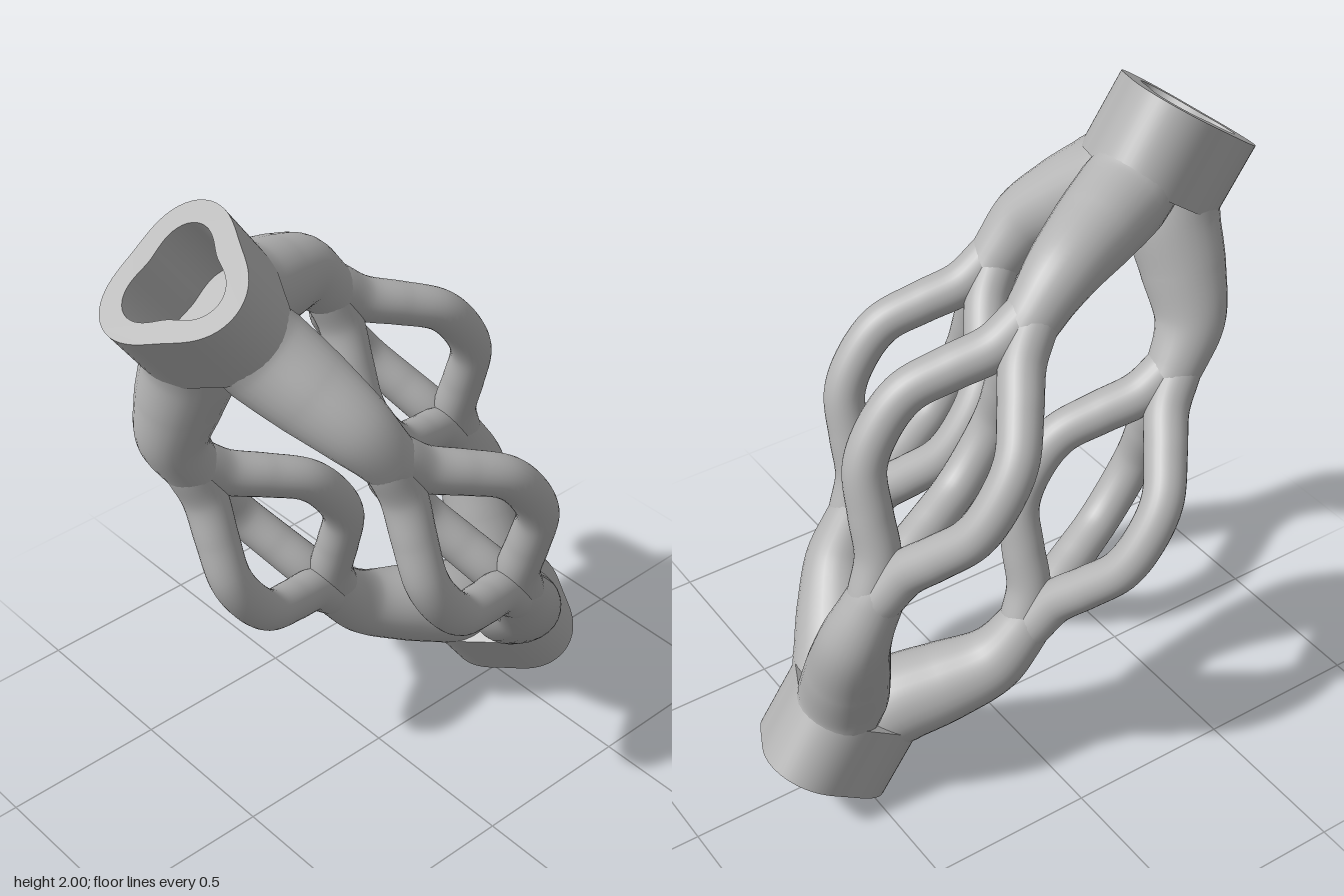
import * as THREE from 'three';
import { toCreasedNormals } from 'three/addons/utils/BufferGeometryUtils.js';

const TILT = 0.614; // lean of the main axis towards the front
const HALF = 1.075; // half length along the axis
const COLLAR = 0.225; // collar length

// Outline with three soft lobes
function lobes(base, wave, PathType) {
  const pts = [];
  for (let i = 0; i < 72; i++) {
    const t = (i / 72) * Math.PI * 2;
    const r = base + wave * Math.cos(3 * t);
    pts.push(new THREE.Vector2(r * Math.cos(t), r * Math.sin(t)));
  }
  return new PathType(pts);
}

// Tube along [radius from axis, height] points, with a radius that varies along it
function taperedTube(points, radii, segments) {
  const curve = new THREE.CatmullRomCurve3(points.map(([x, y]) => new THREE.Vector3(x, y, 0)));
  const sides = 28;
  const geo = new THREE.TubeGeometry(curve, segments, 1, sides, false);
  const pos = geo.attributes.position;
  const v = new THREE.Vector3();
  for (let i = 0; i <= segments; i++) {
    const c = curve.getPointAt(i / segments);
    const f = (i / segments) * (radii.length - 1);
    const k = Math.min(Math.floor(f), radii.length - 2);
    const r = THREE.MathUtils.lerp(radii[k], radii[k + 1], f - k);
    for (let j = 0; j <= sides; j++) {
      const n = i * (sides + 1) + j;
      v.fromBufferAttribute(pos, n).sub(c).multiplyScalar(r).add(c);
      pos.setXYZ(n, v.x, v.y, v.z);
    }
  }
  return geo;
}

function extrudeUp(shape, depth, y) {
  const geo = new THREE.ExtrudeGeometry(shape, { depth, bevelEnabled: false });
  return toCreasedNormals(geo.rotateX(-Math.PI / 2).translate(0, y, 0), 0.6);
}

export function createModel() {
  const grey = new THREE.MeshStandardMaterial({ color: 0xb4b4b4 });
  grey.name = 'grey';
  const add = (parent, name, geo) => {
    const mesh = new THREE.Mesh(geo, grey);
    mesh.name = name;
    parent.add(mesh);
    return mesh;
  };

  // Hollow collar and its floor
  const ring = lobes(0.2, 0.023, THREE.Shape);
  ring.holes.push(lobes(0.135, 0.023, THREE.Path));
  const collarGeo = extrudeUp(ring, COLLAR, HALF - COLLAR);
  const floorGeo = extrudeUp(lobes(0.17, 0.023, THREE.Shape), 0.012, HALF - COLLAR + 0.001);

  // Thick branch from a collar out to a neck
  const branchGeo = taperedTube(
    [[0.088, 0.865], [0.125, 0.8], [0.22, 0.695], [0.315, 0.575], [0.345, 0.45], [0.35, 0.37], [0.35, 0.34]],
    [0.125, 0.13, 0.125, 0.118, 0.108, 0.098, 0.086, 0.078, 0.05], 40);

  // Thin strand bowing out between two necks
  const half = [[0.015, 0.43], [0.05, 0.325], [0.125, 0.225], [0.2, 0.115]];
  const strandGeo = taperedTube(
    [...half, [0.218, 0], ...half.map(([x, y]) => [x, -y]).reverse()],
    [0.066, 0.063, 0.06, 0.06, 0.06, 0.063, 0.066], 56);

  const body = new THREE.Group();
  body.name = 'branchingManifold';

  // Two mirrored ends, each a collar with three branches
  for (const [name, turn] of [['upperEnd', 0], ['lowerEnd', Math.PI]]) {
    const end = new THREE.Group();
    end.name = name;
    end.rotation.x = turn;
    add(end, 'collar', collarGeo);
    add(end, 'collarFloor', floorGeo);
    for (let i = 0; i < 3; i++) {
      add(end, 'branch', branchGeo).rotation.y = (i * Math.PI * 2) / 3;
    }
    body.add(end);
  }

  // Three cages of three strands between the necks
  for (let i = 0; i < 3; i++) {
    const t = (i * Math.PI * 2) / 3;
    const cage = new THREE.Group();
    cage.name = 'strandCage';
    cage.position.set(0.35 * Math.cos(t), 0, 0.35 * Math.sin(t));
    for (let j = 0; j < 3; j++) {
      add(cage, 'strand', strandGeo).rotation.y = Math.PI / 3 + (j * Math.PI * 2) / 3;
    }
    body.add(cage);
  }

  body.rotation.x = TILT;
  body.position.set(-0.033, 1, 0);
  const model = new THREE.Group();
  model.name = 'model';
  model.add(body);
  return model;
}
